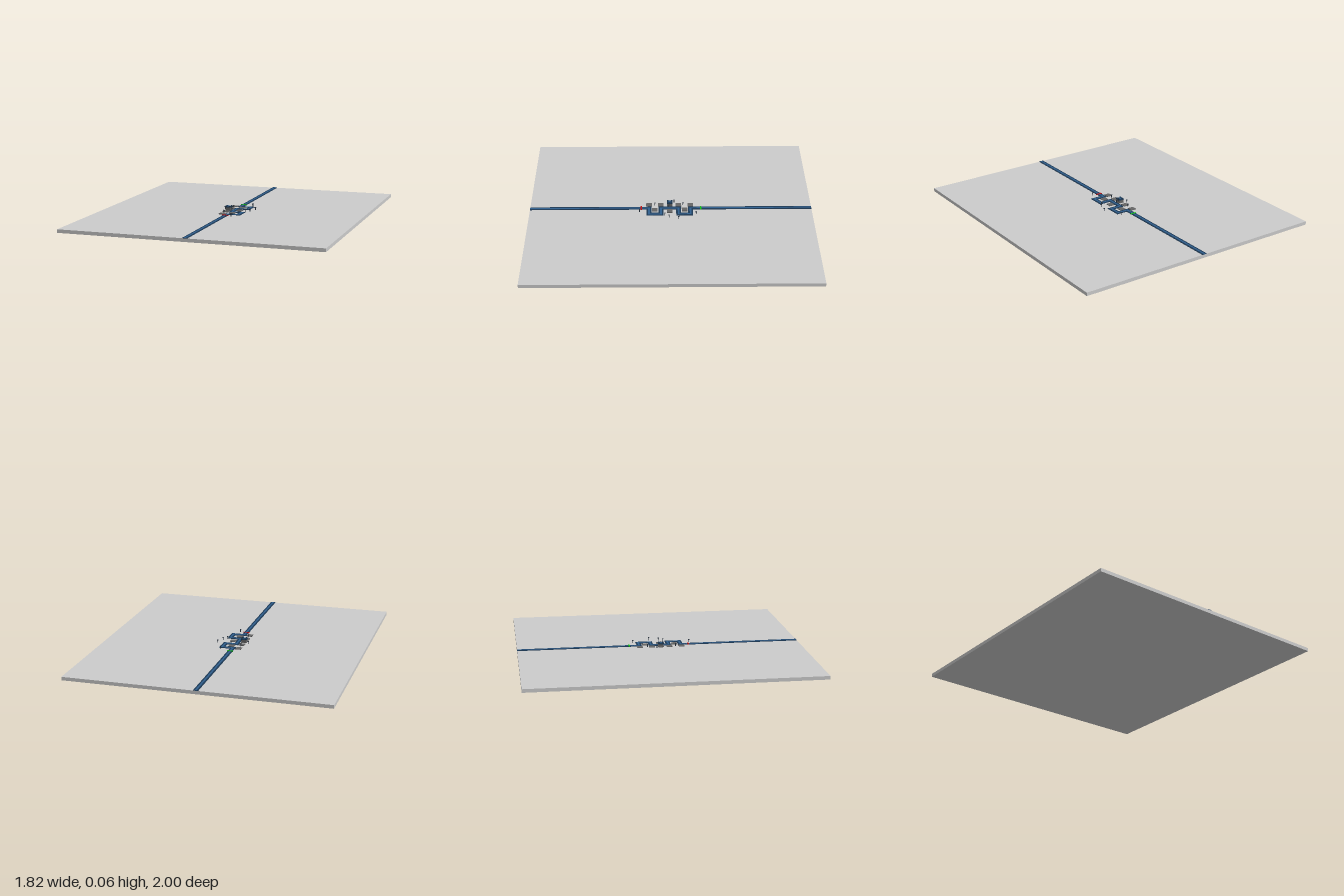
import * as THREE from 'three';

const mat = (color) => new THREE.MeshStandardMaterial({ color, flatShading: true });
const GREY = mat(0xcccccc), DARK = mat(0x666666), NAVY = mat(0x1d3a57), BLUE = mat(0x2f5f8f);
const GREEN = mat(0x10c010), RED = mat(0xc01010), INK = mat(0x26303c);
const TOP = 0.024;

// Box resting on height y
function box(parent, name, material, w, h, d, x, y, z) {
  const mesh = new THREE.Mesh(new THREE.BoxGeometry(w, h, d), material);
  mesh.name = name;
  mesh.position.set(x, y + h / 2, z);
  parent.add(mesh);
  return mesh;
}

// Flat strip following a right-angled route, as one outline
function strip(parent, name, material, route, width, height) {
  const r = width / 2, left = [], right = [];
  route.forEach(([x, z], i) => {
    const a = route[Math.max(i - 1, 0)], b = route[Math.min(i + 1, route.length - 1)];
    const dir = (p, q) => [Math.sign(q[0] - p[0]), Math.sign(q[1] - p[1])];
    const d0 = i > 0 ? dir(a, route[i]) : dir(route[i], b);
    const d1 = i < route.length - 1 ? dir(route[i], b) : d0;
    // mitre: sum of both normals at a corner, one normal at an end
    const same = d0[0] === d1[0] && d0[1] === d1[1];
    const nx = same ? -d0[1] : -d0[1] - d1[1];
    const nz = same ? d0[0] : d0[0] + d1[0];
    left.push(new THREE.Vector2(x + nx * r, -(z + nz * r)));
    right.unshift(new THREE.Vector2(x - nx * r, -(z - nz * r)));
  });
  const geo = new THREE.ExtrudeGeometry(new THREE.Shape([...left, ...right]), { depth: height, bevelEnabled: false });
  geo.rotateX(-Math.PI / 2);
  const mesh = new THREE.Mesh(geo, material);
  mesh.name = name;
  mesh.position.y = TOP;
  parent.add(mesh);
}

// Thin post with a small cap
function post(parent, x, z) {
  const g = new THREE.Group();
  g.name = 'post';
  box(g, 'postPole', INK, 0.004, 0.018, 0.004, 0, 0, 0);
  box(g, 'postCap', INK, 0.009, 0.004, 0.009, 0, 0.017, 0);
  g.position.set(x, TOP, z);
  parent.add(g);
}

// Square tower with corner columns, parapet and a short barrel
function tower(parent, x, z) {
  const g = new THREE.Group();
  g.name = 'tower';
  box(g, 'towerBase', DARK, 0.04, 0.004, 0.04, 0, 0, 0);
  box(g, 'towerBody', DARK, 0.03, 0.02, 0.03, 0, 0.004, 0);
  box(g, 'towerDeck', NAVY, 0.04, 0.005, 0.04, 0, 0.022, 0);
  for (const sx of [-1, 1]) for (const sz of [-1, 1]) {
    box(g, 'towerColumn', DARK, 0.005, 0.018, 0.005, sx * 0.015, 0.004, sz * 0.015);
    box(g, 'towerMerlon', NAVY, 0.01, 0.006, 0.01, sx * 0.014, 0.027, sz * 0.014);
  }
  box(g, 'towerTurret', BLUE, 0.014, 0.005, 0.014, 0, 0.027, 0);
  box(g, 'towerBarrel', INK, 0.02, 0.003, 0.004, 0.016, 0.028, 0);
  g.position.set(x, TOP, z);
  parent.add(g);
}

export function createModel() {
  const model = new THREE.Group();
  model.name = 'board';

  // Ground slab
  box(model, 'groundSlab', GREY, 1.82, TOP, 2, 0, 0, 0);

  // Winding lane with a lighter middle
  const a = -0.013, b = 0.066;
  const route = [[a, -1], [a, -0.14], [b, -0.14], [b, -0.055], [a, -0.055],
    [a, 0.07], [b, 0.07], [b, 0.155], [a, 0.155], [a, 1]];
  strip(model, 'lane', NAVY, route, 0.034, 0.003);
  strip(model, 'laneMiddle', BLUE, route, 0.012, 0.0036);

  // Building pads
  const pads = [[-0.055, -0.14], [-0.055, -0.055], [-0.055, 0.07], [-0.055, 0.155],
    [0.008, -0.098], [0.027, 0.008], [0.008, 0.113]];
  for (const [x, z] of pads) box(model, 'pad', DARK, 0.04, 0.005, 0.04, x, TOP, z);

  tower(model, -0.055, 0.008);

  // Start and finish bars
  box(model, 'startBar', GREEN, 0.042, 0.006, 0.01, a, TOP, -0.212);
  box(model, 'finishBar', RED, 0.042, 0.006, 0.01, a, TOP, 0.21);

  // Scattered posts
  const posts = [[0.066, -0.178], [0.124, -0.055], [0.104, 0.013], [0.079, 0.042],
    [0.034, 0.222], [-0.055, -0.087], [-0.092, -0.024], [-0.055, 0.113], [-0.03, 0.013]];
  for (const [x, z] of posts) post(model, x, z);

  return model;
}
